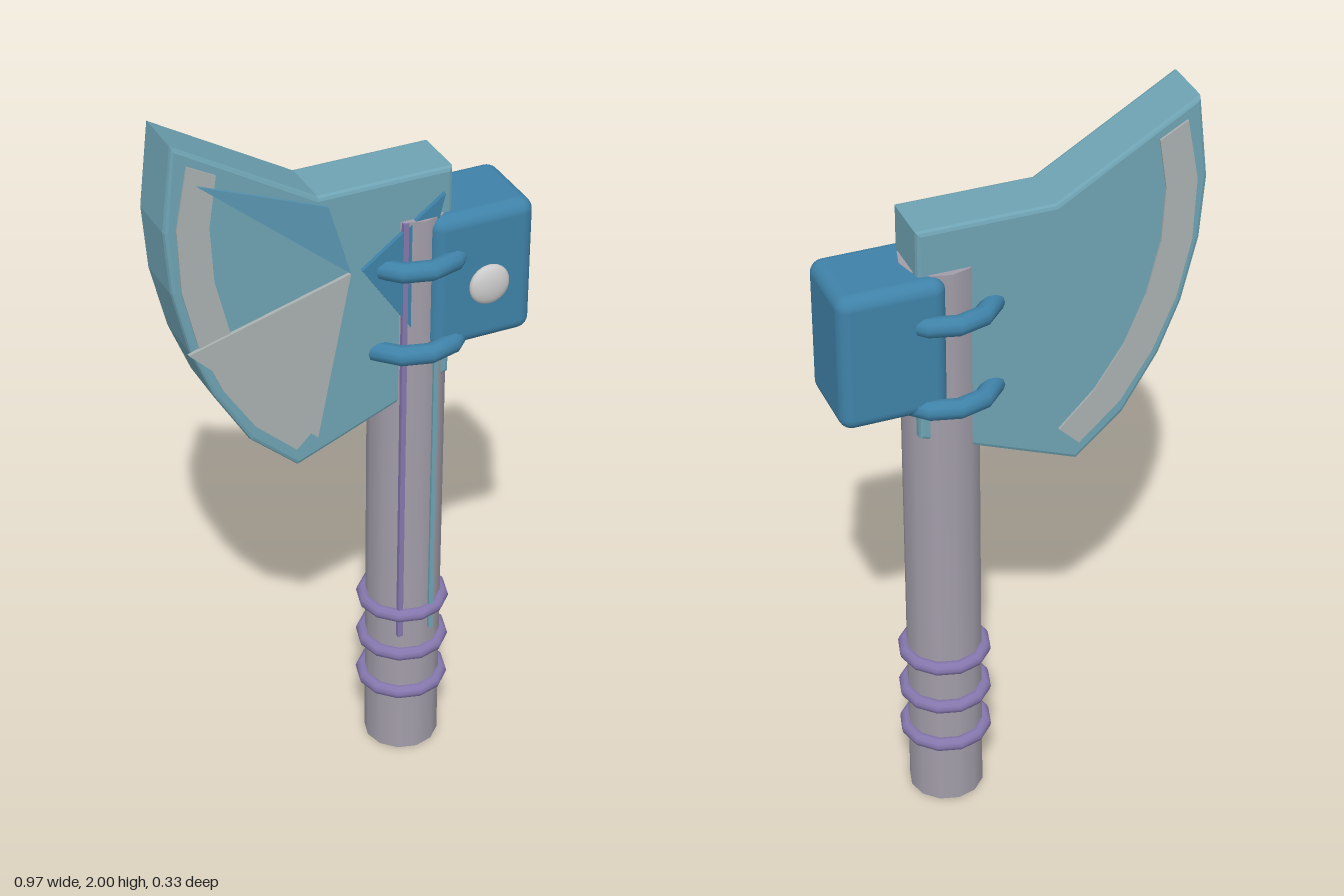
import * as THREE from 'three';
import { RoundedBoxGeometry } from 'three/addons/geometries/RoundedBoxGeometry.js';

const mat = (color) => new THREE.MeshStandardMaterial({ color });
const teal = mat(0x6fa3b3), blue = mat(0x3f82a8), plateBlue = mat(0x5a96b2);
const grip = mat(0xa29da9), purple = mat(0x8577ad), silver = mat(0xa9b0b0), gemGrey = mat(0xc4c4c4);

const HX = 0.187; // handle axis

export function createModel() {
  const model = new THREE.Group();

  const add = (name, geometry, material, x = 0, y = 0, z = 0) => {
    const mesh = new THREE.Mesh(geometry, material);
    mesh.name = name;
    mesh.position.set(x, y, z);
    model.add(mesh);
    return mesh;
  };
  const shapeOf = (points) => new THREE.Shape(points.map(([x, y]) => new THREE.Vector2(x, y)));
  const plate = (name, points, material, z, depth) =>
    add(name, new THREE.ExtrudeGeometry(shapeOf(points), { depth, bevelEnabled: false }), material, 0, 0, z);

  // Handle with grip rings
  add('handle', new THREE.CylinderGeometry(0.1, 0.1, 1.66, 12), grip, HX, 0.83, 0);
  const ring = (name, y, radius, tube, material) =>
    add(name, new THREE.TorusGeometry(radius, tube, 10, 12), material, HX, y, -0.002).rotation.x = Math.PI / 2;
  [0.2, 0.33, 0.46].forEach((y) => ring('gripRing', y, 0.105, 0.019, purple));
  [1.3, 1.54].forEach((y) => ring('collar', y, 0.137, 0.027, blue));

  // Thin inlays running up the handle
  add('purpleInlay', new THREE.BoxGeometry(0.014, 1.27, 0.014), purple, 0.137, 1.025, 0.085);
  add('tealInlay', new THREE.BoxGeometry(0.012, 0.9, 0.014), teal, 0.222, 0.85, 0.093);

  // Blade: thick beveled slab that passes through the handle
  const blade = new THREE.ExtrudeGeometry(shapeOf([
    [-0.463, 2.0], [-0.488, 1.777], [-0.474, 1.607], [-0.431, 1.432], [-0.373, 1.29],
    [-0.278, 1.135], [-0.15, 1.022], [0.27, 1.19], [0.27, 1.78], [-0.09, 1.78],
  ]), { depth: 0.136, bevelThickness: 0.011, bevelSize: 0.011, bevelOffset: -0.011, bevelSegments: 2 });
  add('blade', blade, teal, 0, 0, -0.07);

  // Curved edge band on both faces
  const band = [
    [-0.428, 1.945], [-0.458, 1.78], [-0.45, 1.61], [-0.412, 1.45], [-0.35, 1.305], [-0.265, 1.175], [-0.155, 1.075],
    [-0.1, 1.13], [-0.195, 1.225], [-0.275, 1.345], [-0.33, 1.475], [-0.366, 1.62], [-0.375, 1.77], [-0.355, 1.905],
  ];
  plate('edgeBandFront', band, silver, 0.07, 0.012);
  plate('edgeBandBack', band, silver, -0.087, 0.012);

  // Triangular facets on the front face
  plate('upperFacet', [[-0.405, 1.89], [-0.01, 1.555], [-0.07, 1.755]], plateBlue, 0.079, 0.01);
  plate('lowerFacet', [[-0.44, 1.435], [-0.1, 1.1], [-0.01, 1.555]], silver, 0.079, 0.01);
  plate('hubFacet', [[0.02, 1.555], [0.156, 1.355], [0.243, 1.72]], blue, 0.079, 0.012);

  // Hammer block with a rounded stud
  add('hammerBlock', new RoundedBoxGeometry(0.28, 0.376, 0.237, 4, 0.035), blue, 0.343, 1.47, -0.002);
  add('stud', new THREE.SphereGeometry(0.055, 20, 14), gemGrey, 0.343, 1.465, 0.142).scale.z = 0.38;

  return model;
}
